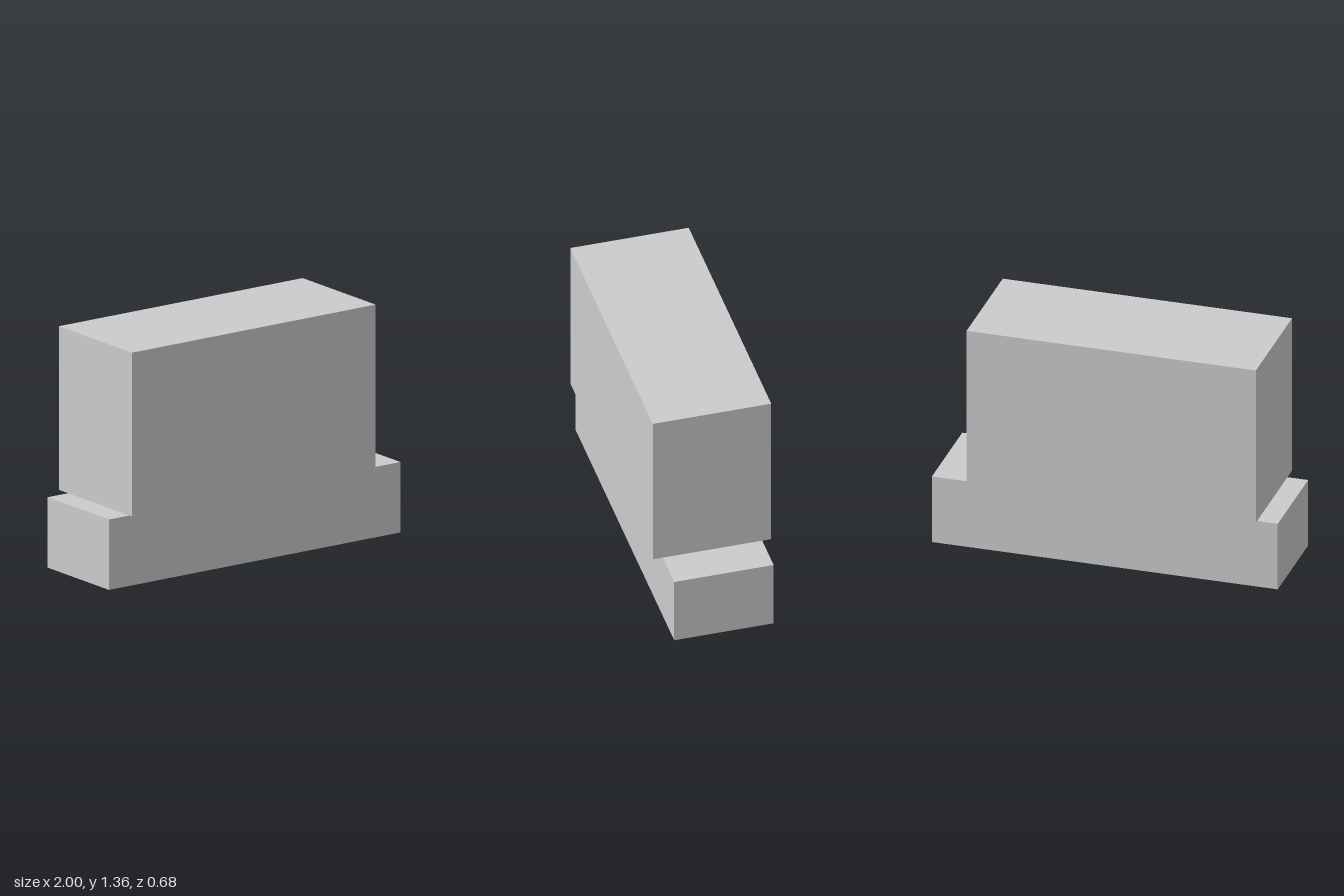
import * as THREE from 'three';

const material = new THREE.MeshStandardMaterial({ color: 0xcccccc, flatShading: true });

// Box given by its lowest and highest corners
function block(name, min, max) {
  const size = max.map((v, i) => v - min[i]);
  const mesh = new THREE.Mesh(new THREE.BoxGeometry(...size), material);
  mesh.position.set(...min.map((v, i) => (v + max[i]) / 2));
  mesh.name = name;
  return mesh;
}

export function createModel() {
  const model = new THREE.Group();
  model.name = 'stackedBlocks';
  model.add(
    // Long, low base
    block('base', [-1, 0, -0.293], [1, 0.404, 0.278]),
    // Taller, wider body, off centre with a thin gap above the base
    block('upperBody', [-0.888, 0.417, -0.34], [0.785, 1.356, 0.34])
  );
  return model;
}
